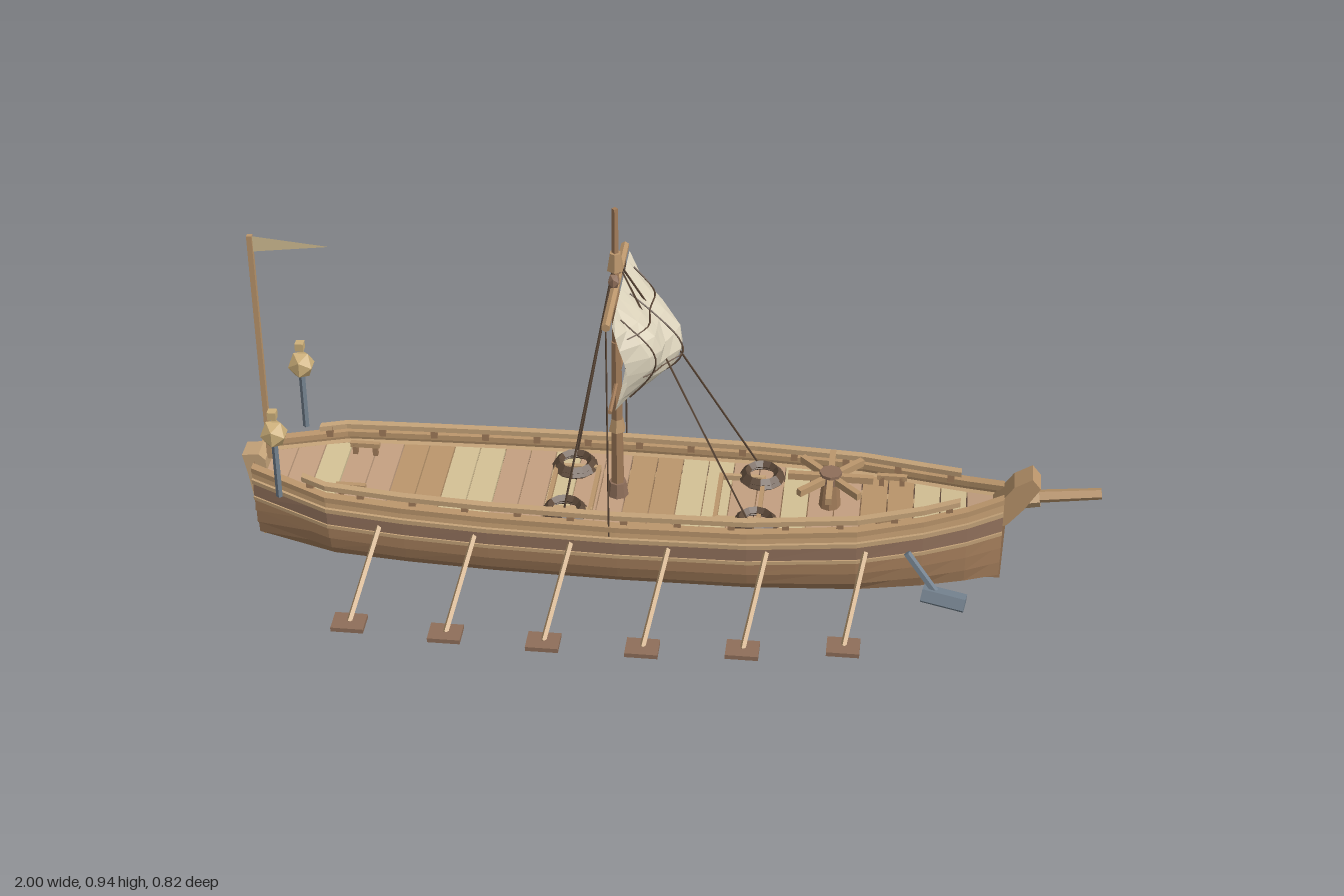
import * as THREE from 'three';

const mat = (name, color) => {
  const m = new THREE.MeshStandardMaterial({ color, side: THREE.DoubleSide, flatShading: true });
  m.name = name;
  return m;
};

// hull lines at each station: x, half width, bottom height, sheer height
const LINES = [
  [-0.97, 0.06, 0.03, 0.225], [-0.78, 0.14, 0.015, 0.212], [-0.6, 0.155, 0.008, 0.206], [-0.4, 0.165, 0.004, 0.203],
  [-0.1, 0.171, 0.002, 0.202], [0.2, 0.165, 0.002, 0.203], [0.45, 0.139, 0.006, 0.21], [0.6, 0.098, 0.012, 0.22],
  [0.7, 0.064, 0.02, 0.232], [0.78, 0.031, 0.03, 0.248],
];
// midship section as fractions of half width and height, keel to sheer
const SECTION = [[0, 0], [0.55, 0.03], [0.77, 0.22], [0.89, 0.42], [0.94, 0.62], [0.98, 0.83], [0.97, 1]];

function line(x, k) {
  let i = 0;
  while (i < LINES.length - 2 && x > LINES[i + 1][0]) i++;
  const a = LINES[i], b = LINES[i + 1];
  return THREE.MathUtils.lerp(a[k], b[k], THREE.MathUtils.clamp((x - a[0]) / (b[0] - a[0]), 0, 1));
}
const half = (x) => line(x, 1);
const sheer = (x) => line(x, 3);
function hullPoint(x, f) {
  return [half(x) * f[0], THREE.MathUtils.lerp(line(x, 2), sheer(x), f[1])];
}
function sectionAt(v) {
  let i = 0;
  while (i < SECTION.length - 2 && v > SECTION[i + 1][1]) i++;
  const a = SECTION[i], b = SECTION[i + 1], t = (v - a[1]) / (b[1] - a[1]);
  return [a[0] + (b[0] - a[0]) * t, v];
}
function stations(x0, x1) {
  return [x0, ...LINES.map((l) => l[0]).filter((x) => x > x0 + 0.01 && x < x1 - 0.01), x1];
}

// skin a row of cross-sections; flip reverses the winding for the mirrored side
function loft(rows, flip, closed) {
  const pos = [], n = rows[0].length;
  const quad = (a, b, c, d) => pos.push(...(flip ? [a, c, b, a, d, c] : [a, b, c, a, c, d]).flat());
  for (let i = 0; i < rows.length - 1; i++)
    for (let j = 0; j < (closed ? n : n - 1); j++) {
      const k = (j + 1) % n;
      quad(rows[i][j], rows[i + 1][j], rows[i + 1][k], rows[i][k]);
    }
  if (closed) {
    const e = rows[rows.length - 1], s = rows[0];
    quad(s[0], s[1], s[2], s[3]);
    quad(e[3], e[2], e[1], e[0]);
  }
  const g = new THREE.BufferGeometry();
  g.setAttribute('position', new THREE.Float32BufferAttribute(pos, 3));
  g.computeVertexNormals();
  return g;
}

export function createModel() {
  const ship = new THREE.Group();
  ship.name = 'galley';
  const tan = mat('tan wood', 0xbb966c), brown = mat('brown wood', 0xa27c5a), dark = mat('dark wood', 0x8f6f5a);
  const light = mat('light wood', 0xc5a379), pale = mat('pale plank', 0xd4c195), rose = mat('rosy plank', 0xc4a081);
  const rope = mat('dark rope', 0x5c4838), canvas = mat('canvas', 0xdad1ba);
  const iron = mat('iron', 0x74828f), brass = mat('lantern amber', 0xcdb07a);

  const add = (name, geo, m, x = 0, y = 0, z = 0) => {
    const mesh = new THREE.Mesh(geo, m);
    mesh.name = name;
    mesh.position.set(x, y, z);
    ship.add(mesh);
    return mesh;
  };
  const box = (name, w, h, d, m, x, y, z) => add(name, new THREE.BoxGeometry(w, h, d), m, x, y, z);
  // straight bar between two points
  const bar = (name, a, b, r0, r1, m, sides = 6) => {
    const A = new THREE.Vector3(...a), B = new THREE.Vector3(...b), d = B.clone().sub(A);
    const mesh = add(name, new THREE.CylinderGeometry(r1, r0, d.length(), sides), m);
    mesh.position.copy(A).add(B).multiplyScalar(0.5);
    mesh.quaternion.setFromUnitVectors(new THREE.Vector3(0, 1, 0), d.normalize());
    return mesh;
  };
  // timber of rectangular section following the hull; at(x) gives [z, y]
  const timber = (name, x0, x1, s, at, w, h, m) => add(name, loft(stations(x0, x1).map((x) => {
    const [z, y] = at(x);
    return [[x, y - h / 2, s * (z + w / 2)], [x, y + h / 2, s * (z + w / 2)], [x, y + h / 2, s * (z - w / 2)], [x, y - h / 2, s * (z - w / 2)]];
  }), s < 0, true), m);

  // overlapping hull strakes, wales, gunwale and rail
  const strakeMats = [dark, brown, brown, brown, dark, tan];
  for (const s of [1, -1]) {
    for (let i = 0; i < 6; i++) {
      const rows = stations(-0.97, 0.78).map((x) => {
        const [z0, y0] = hullPoint(x, SECTION[i]), [z1, y1] = hullPoint(x, SECTION[i + 1]);
        const lip = i ? 0.008 : 0;
        return [[x, y0, s * z0], [x, y0 - lip * 0.6, s * (z0 + lip)], [x, y1, s * z1]];
      });
      add('strake', loft(rows, s < 0), strakeMats[i]);
    }
    for (const [v, h] of [[0.6, 0.009], [0.85, 0.011]])
      timber('wale', -0.97, 0.78, s, (x) => hullPoint(x, sectionAt(v)), 0.024, h, light);
    timber('gunwale', -0.97, 0.78, s, (x) => [half(x) - 0.004, sheer(x)], 0.022, 0.014, tan);
    timber('rail', -0.84, 0.68, s, (x) => [half(x) - 0.012, sheer(x) + 0.026], 0.018, 0.013, light);
    for (let i = 0; i < 13; i++) {
      const x = -0.82 + i * 0.123;
      box('railPost', 0.016, 0.03, 0.012, brown, x, sheer(x) + 0.014, s * (half(x) - 0.012));
    }
  }
  for (const x of [-0.97, 0.78]) {
    const sh = new THREE.Shape();
    const side = SECTION.map((f) => hullPoint(x, f));
    [...side, ...side.slice(1).reverse().map(([z, y]) => [-z, y])].forEach(([z, y], i) => (i ? sh.lineTo(z, y) : sh.moveTo(z, y)));
    add('hullEnd', new THREE.ShapeGeometry(sh), brown, x).rotation.y = x > 0 ? -Math.PI / 2 : Math.PI / 2;
  }
  timber('keel', -0.95, 0.77, 1, (x) => [0, line(x, 2) + 0.003], 0.022, 0.01, dark);

  // crosswise deck planks
  const plankMats = [rose, pale, tan, rose, rose, pale, tan, rose, pale];
  for (let i = 0; i < 28; i++) {
    const a = -0.95 + i * 0.061, b = a + 0.058;
    const z0 = half(a) - 0.014, z1 = half(b) - 0.014, y0 = sheer(a) - 0.024, y1 = sheer(b) - 0.024;
    add('deckPlank', loft([[[a, y0 - 0.01, z0], [a, y0, z0], [a, y0, -z0], [a, y0 - 0.01, -z0]],
      [[b, y1 - 0.01, z1], [b, y1, z1], [b, y1, -z1], [b, y1 - 0.01, -z1]]], false, true), plankMats[(i * 4) % 9]);
  }

  // stem and stern posts, bowsprit
  const post = (name, pts, w, m) => add(name, new THREE.ExtrudeGeometry(
    new THREE.Shape(pts.map((p) => new THREE.Vector2(...p))), { depth: w, bevelEnabled: false }), m, 0, 0, -w / 2);
  post('stem', [[0.75, 0.02], [0.783, 0.02], [0.787, 0.2], [0.755, 0.21]], 0.042, brown);
  post('stemHead', [[0.77, 0.17], [0.79, 0.18], [0.825, 0.225], [0.86, 0.285], [0.84, 0.31], [0.8, 0.285], [0.755, 0.22]], 0.06, tan);
  post('sternPost', [[-0.965, 0.015], [-0.935, 0.02], [-0.945, 0.23], [-0.96, 0.245], [-1, 0.24], [-0.99, 0.19]], 0.055, light);
  bar('bowsprit', [0.8, 0.238, 0], [1, 0.263, 0], 0.017, 0.014, tan, 5);
  bar('bowspritCollar', [0.825, 0.241, 0], [0.86, 0.246, 0], 0.028, 0.026, light, 5);

  // oars
  [0.36, 0.375, 0.382, 0.38, 0.362, 0.328].forEach((z, i) => {
    const x = -0.69 + i * 0.225;
    for (const s of [1, -1]) {
      bar('oarShaft', [x + 0.035, 0.15, s * (half(x) - 0.01)], [x, 0.03, s * z], 0.007, 0.007, light, 4);
      box('oarBlade', 0.075, 0.011, 0.058, dark, x, 0.028, s * z);
    }
  });

  // mast, yards and rigging
  const mx = -0.115;
  bar('lowerMast', [mx, 0.17, 0], [mx, 0.6, 0], 0.016, 0.012, brown);
  bar('topMast', [mx, 0.6, 0], [mx, 0.945, 0], 0.01, 0.007, brown, 4);
  bar('mastFoot', [mx, 0.17, 0], [mx, 0.215, 0], 0.026, 0.02, dark, 8);
  bar('mastCap', [mx, 0.79, 0], [mx, 0.833, 0], 0.02, 0.013, tan);
  bar('mastCleat', [mx, 0.36, 0], [mx, 0.392, 0], 0.021, 0.014, tan);
  bar('yard', [mx, 0.747, -0.178], [mx, 0.747, 0.178], 0.01, 0.01, tan);
  bar('lowerYard', [mx, 0.49, -0.125], [mx, 0.49, 0.125], 0.005, 0.005, brown);
  for (const s of [1, -1]) {
    add('block', new THREE.IcosahedronGeometry(0.018), dark, mx, 0.777, s * 0.031).scale.set(0.8, 1.1, 0.75);
    bar('brace', [mx, 0.745, s * 0.175], [mx, 0.18, s * 0.173], 0.002, 0.002, rope, 4);
    for (const x of [-0.225, 0.2]) bar('stay', [mx, 0.82, 0], [x, 0.21, s * 0.122], 0.0025, 0.0025, rope, 4);
  }

  // billowing square sail with diagonal folds and ropes across it
  const sailPoint = (u, v) => {
    const z = u * (0.133 + 0.03 * v);
    const belly = 0.13 * Math.sin(Math.PI * Math.pow(v, 0.9)) * (1 - 0.8 * u * u);
    const fold = 0.014 * Math.sin(6 * u + 6 * v) * v * (1 - v) * 4 * (1 - 0.5 * u * u);
    return new THREE.Vector3(mx + 0.012 + belly + fold, 0.48 + 0.262 * v + 0.02 * u * u * (1 - v), z);
  };
  const sail = new THREE.PlaneGeometry(2, 1, 8, 7);
  const sp = sail.attributes.position;
  for (let i = 0; i < sp.count; i++) {
    const p = sailPoint(-sp.getX(i), sp.getY(i) + 0.5);
    sp.setXYZ(i, p.x, p.y, p.z);
  }
  sail.computeVertexNormals();
  add('sail', sail, canvas);
  const sailRope = (f) => add('sailRope', new THREE.TubeGeometry(new THREE.CatmullRomCurve3(
    Array.from({ length: 9 }, (_, i) => f(i / 8).add(new THREE.Vector3(0.003, 0, 0)))), 16, 0.002, 4), rope);
  for (const v of [0.38, 0.8]) sailRope((t) => sailPoint(-0.85 + 1.7 * t, v));
  for (const u of [-0.7, 0, 0.7]) sailRope((t) => sailPoint(u, 0.1 + 0.85 * t));

  // capstan with eight bars
  bar('capstanDrum', [0.38, 0.18, 0], [0.38, 0.25, 0], 0.026, 0.02, brown, 8);
  bar('capstanHead', [0.38, 0.25, 0], [0.38, 0.278, 0], 0.026, 0.026, dark, 8);
  for (let i = 0; i < 4; i++) box('capstanBar', 0.196, 0.017, 0.014, tan, 0.38, 0.262, 0).rotation.y = i * Math.PI / 4 + 0.001;

  // hatches and rope coils
  for (const x of [-0.22, 0.17]) {
    const cx = x < 0 ? -0.228 : 0.215;
    for (const s of [1, -1]) {
      box('hatchSide', 0.11, 0.014, 0.01, light, x, 0.185, s * 0.085);
      box('hatchEnd', 0.01, 0.014, 0.18, tan, x + s * 0.05, 0.185, 0);
      for (const [r, y] of [[0.044, 0.185], [0.039, 0.194]])
        add('ropeCoil', new THREE.TorusGeometry(r, 0.011, 4, 12), rope, cx, y, s * 0.093).rotation.x = Math.PI / 2;
    }
  }
  // bitts at bow and stern
  for (const s of [1, -1]) for (const x of [-0.73, 0.52]) {
    box('bittBar', 0.07, 0.012, 0.012, tan, x, 0.213, s * 0.085);
    for (const e of [-1, 1]) box('bittPost', 0.012, 0.03, 0.012, brown, x + e * 0.024, 0.2, s * 0.085);
  }

  // stern lanterns and anchors
  for (const s of [1, -1]) {
    bar('lanternPole', [-0.885, 0.215, s * 0.145], [-0.885, 0.36, s * 0.145], 0.008, 0.008, iron, 5);
    add('lantern', new THREE.IcosahedronGeometry(0.033), brass, -0.885, 0.39, s * 0.145).scale.y = 1.1;
    box('lanternCap', 0.02, 0.02, 0.02, brass, -0.885, 0.442, s * 0.145);
    bar('anchorShank', [0.565, 0.18, s * 0.163], [0.635, 0.095, s * 0.19], 0.009, 0.009, iron, 5);
    bar('anchorHead', [0.605, 0.087, s * 0.187], [0.703, 0.077, s * 0.204], 0.023, 0.023, iron, 5);
  }

  // flagpole and pennant
  box('flagPole', 0.012, 0.605, 0.012, tan, -0.94, 0.5225, 0);
  add('pennant', new THREE.ShapeGeometry(new THREE.Shape([
    new THREE.Vector2(-0.936, 0.783), new THREE.Vector2(-0.76, 0.806), new THREE.Vector2(-0.936, 0.823)])), pale);
  return ship;
}
